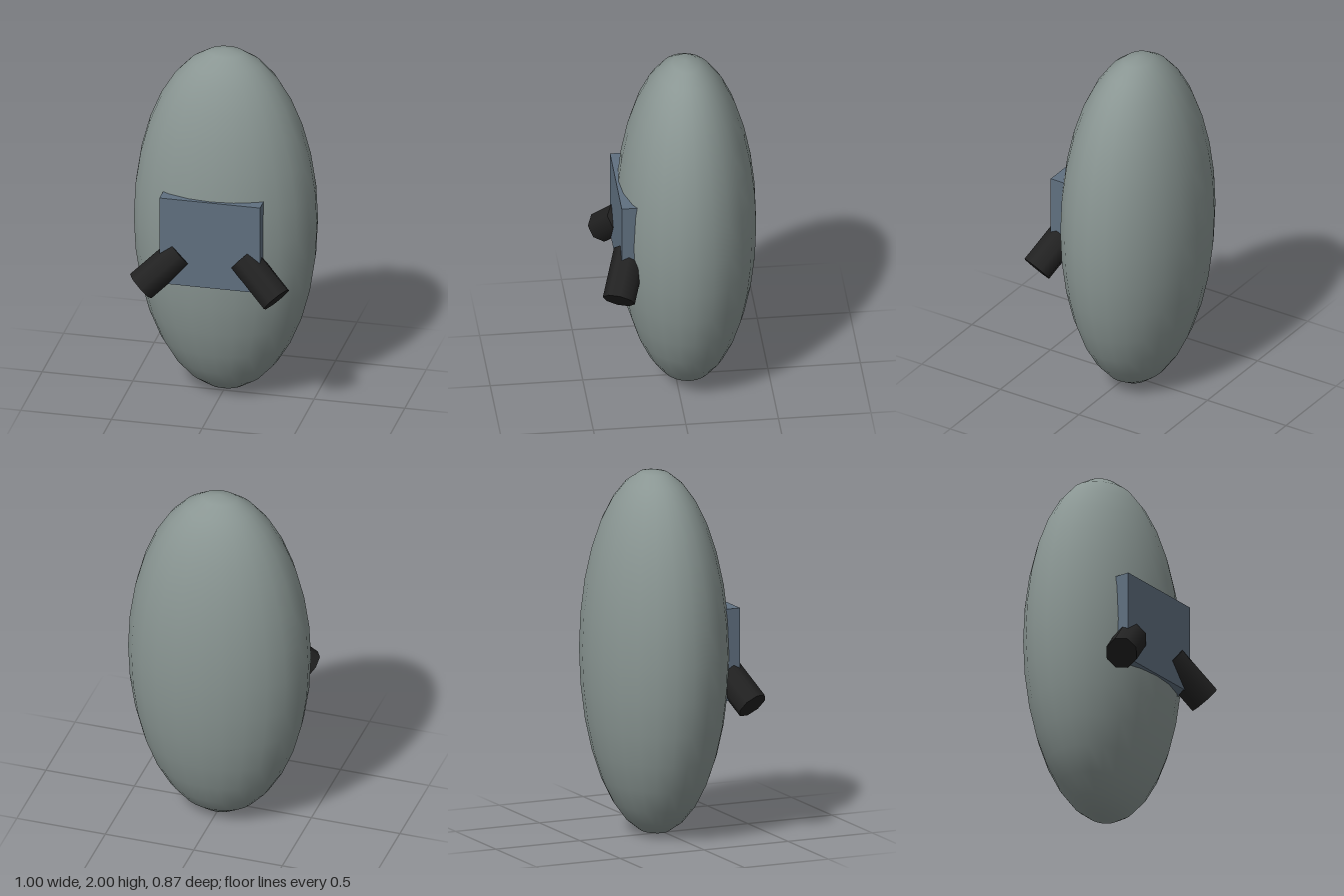
import * as THREE from 'three';

const mat = (name, color) => {
  const m = new THREE.MeshStandardMaterial({ color });
  m.name = name;
  return m;
};

export function createModel() {
  const group = new THREE.Group();
  const shellGrey = mat('shell grey', 0x8a9693);
  const slateBlue = mat('slate blue', 0x607080);
  const black = mat('black', 0x222222);

  const add = (name, geometry, material) => {
    const mesh = new THREE.Mesh(geometry, material);
    mesh.name = name;
    group.add(mesh);
    return mesh;
  };

  // Tall egg-shaped body
  const body = new THREE.SphereGeometry(1, 24, 16);
  body.scale(0.502, 1, 0.378);
  add('body', body, shellGrey).position.set(0, 1, -0.057);

  // Flat front panel, sunk into the body
  add('frontPanel', new THREE.BoxGeometry(0.555, 0.505, 0.12), slateBlue).position.set(0, 1.003, 0.261);

  // Stubby splayed barrels, running down, outward and forward from the panel
  for (const [name, side] of [['leftBarrel', 1], ['rightBarrel', -1]]) {
    const start = new THREE.Vector3(side * 0.176, 0.918, 0.265);
    const end = new THREE.Vector3(side * 0.374, 0.735, 0.348);
    const axis = end.clone().sub(start);
    const length = axis.length();
    axis.normalize();
    const across = new THREE.Vector3(0, 0, 1).addScaledVector(axis, -axis.z).normalize();
    const up = new THREE.Vector3().crossVectors(axis, across);
    const barrel = new THREE.CylinderGeometry(0.088, 0.088, length, 8);
    barrel.applyMatrix4(new THREE.Matrix4().makeBasis(up, axis, across).setPosition(
      start.add(end).multiplyScalar(0.5)));
    add(name, barrel, black);
  }
  return group;
}
